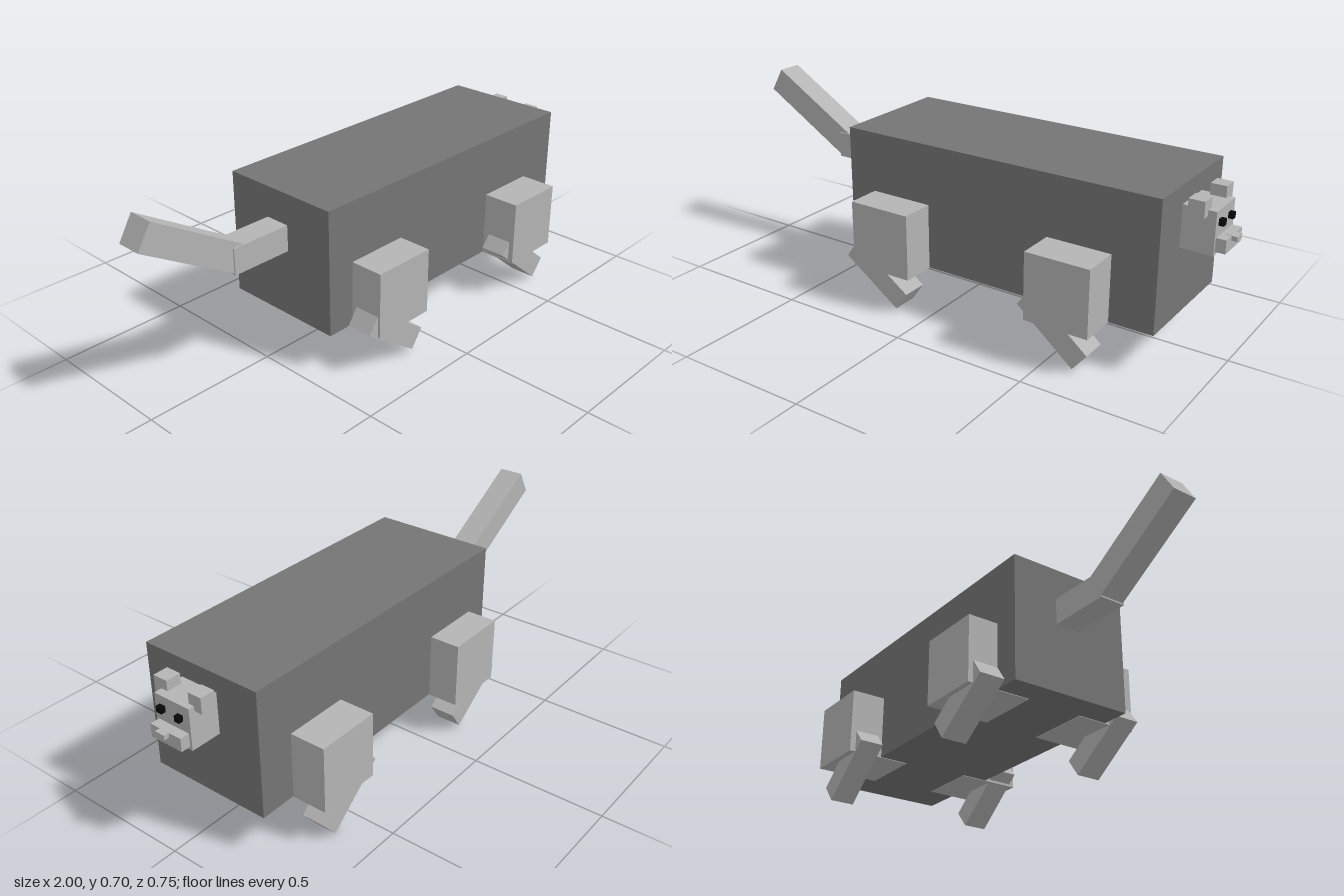
import * as THREE from 'three';

export function createModel() {
  const model = new THREE.Group();
  model.name = 'blockAnimal';

  const material = (name, color) => {
    const m = new THREE.MeshStandardMaterial({ color });
    m.name = name;
    return m;
  };
  const darkGrey = material('darkGrey', 0x757575);
  const lightGrey = material('lightGrey', 0xb4b4b4);
  const black = material('black', 0x080808);

  // Upright box from its extents on each axis
  function block(name, mat, [x0, x1], [y0, y1], [z0, z1], parent = model) {
    const mesh = new THREE.Mesh(new THREE.BoxGeometry(x1 - x0, y1 - y0, z1 - z0), mat);
    mesh.position.set((x0 + x1) / 2, (y0 + y1) / 2, (z0 + z1) / 2);
    mesh.name = name;
    parent.add(mesh);
  }

  // Box tilted downwards towards +x by the given degrees
  function tilted(name, mat, length, thickness, [x, y], [z0, z1], degrees, parent = model) {
    const mesh = new THREE.Mesh(new THREE.BoxGeometry(length, thickness, z1 - z0), mat);
    mesh.position.set(x, y, (z0 + z1) / 2);
    mesh.rotation.z = -THREE.MathUtils.degToRad(degrees);
    mesh.name = name;
    parent.add(mesh);
  }

  // Body
  block('body', darkGrey, [-0.413, 0.83], [0.146, 0.615], [-0.24, 0.232]);

  // Head, looking along +x
  const head = new THREE.Group();
  head.name = 'head';
  model.add(head);
  block('skull', lightGrey, [0.80, 0.945], [0.396, 0.547], [-0.072, 0.077], head);
  block('muzzle', lightGrey, [0.93, 0.98], [0.408, 0.456], [-0.063, 0.068], head);
  block('nose', lightGrey, [0.96, 1.0], [0.44, 0.457], [-0.013, 0.026], head);
  block('eye', black, [0.94, 0.962], [0.494, 0.516], [0.033, 0.056], head);
  block('eye', black, [0.94, 0.962], [0.492, 0.513], [-0.043, -0.022], head);
  block('ear', lightGrey, [0.86, 0.916], [0.527, 0.584], [0.05, 0.107], head);
  block('ear', lightGrey, [0.867, 0.923], [0.53, 0.587], [-0.104, -0.05], head);

  // Legs: a square thigh and a slanted shin each
  const legs = [
    { name: 'rearLegA', x: [-0.305, -0.06], z: [0.115, 0.36], shin: [-0.211, 0.122], sz: [0.252, 0.35], length: 0.27, tilt: 35 },
    { name: 'rearLegB', x: [-0.315, -0.07], z: [-0.356, -0.111], shin: [-0.221, 0.124], sz: [-0.337, -0.24], length: 0.27, tilt: 35 },
    { name: 'frontLegA', x: [0.428, 0.668], z: [0.127, 0.372], shin: [0.5245, 0.128], sz: [0.256, 0.352], length: 0.278, tilt: 39.5 },
    { name: 'frontLegB', x: [0.445, 0.69], z: [-0.373, -0.128], shin: [0.536, 0.12], sz: [-0.351, -0.259], length: 0.278, tilt: 39.5 },
  ];
  for (const leg of legs) {
    const group = new THREE.Group();
    group.name = leg.name;
    model.add(group);
    block('thigh', lightGrey, leg.x, [0.144, 0.39], leg.z, group);
    tilted('shin', lightGrey, leg.length, 0.083, leg.shin, leg.sz, leg.tilt, group);
  }

  // Tail: level base and raised tip
  const tail = new THREE.Group();
  tail.name = 'tail';
  model.add(tail);
  block('tailBase', lightGrey, [-0.645, -0.40], [0.4, 0.498], [-0.064, 0.033], tail);
  tilted('tailTip', lightGrey, 0.413, 0.102, [-0.7965, 0.555], [-0.066, 0.028], 30.8, tail);

  return model;
}
